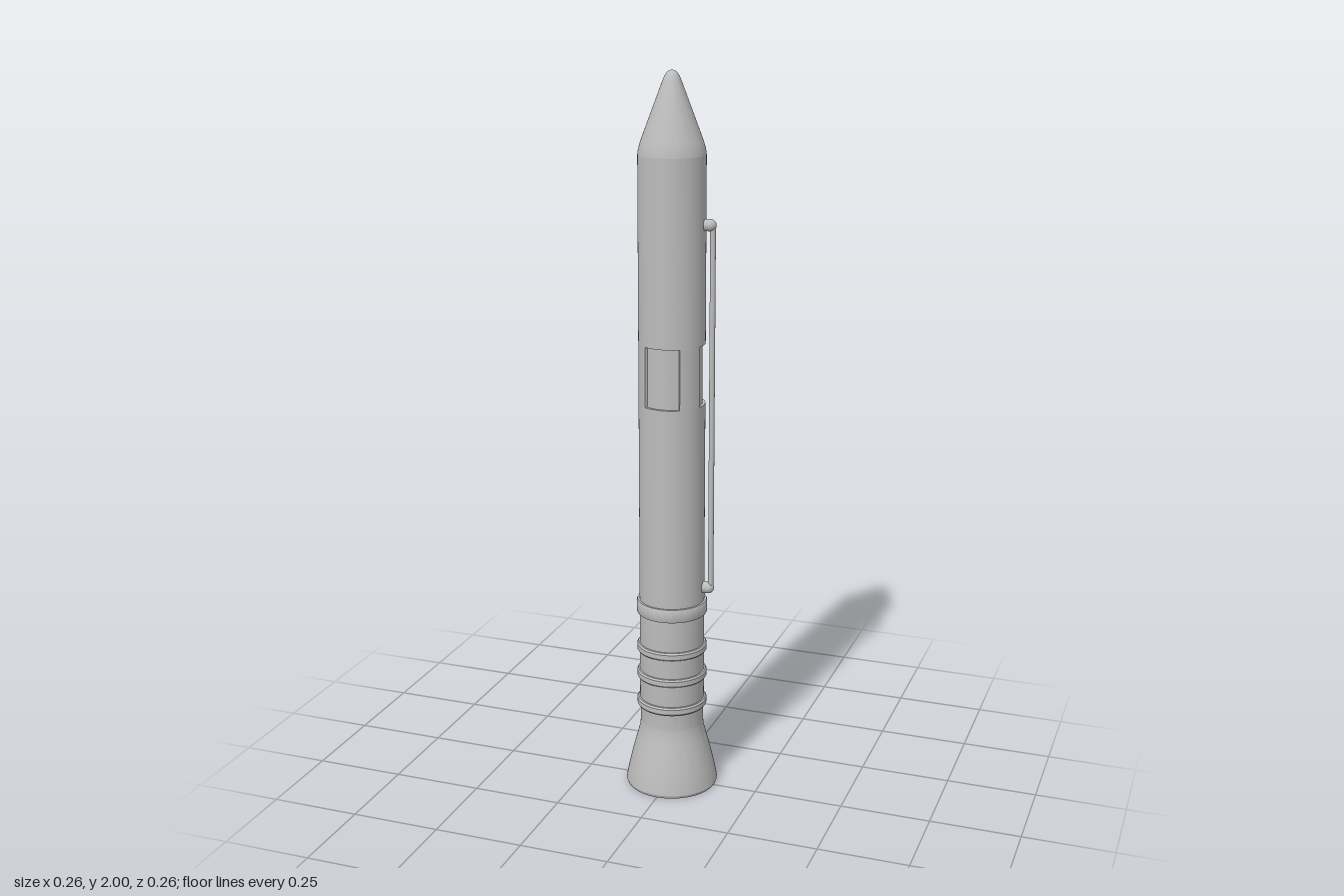
import * as THREE from 'three';
import { toCreasedNormals } from 'three/addons/utils/BufferGeometryUtils.js';

const R = 0.09; // hull radius
const SEGMENTS = 64;

export function createModel() {
  const model = new THREE.Group();
  model.name = 'rocket';
  const grey = new THREE.MeshStandardMaterial({ color: 0xbcbcbc });
  grey.name = 'light grey';

  const add = (name, geometry, parent = model) => {
    const mesh = new THREE.Mesh(geometry, grey);
    mesh.name = name;
    parent.add(mesh);
    return mesh;
  };
  // Turned part from [radius, height] pairs, listed bottom to top on the outside
  const turned = (name, points) => {
    const profile = points.map(([r, y]) => new THREE.Vector2(r, y));
    return add(name, toCreasedNormals(new THREE.LatheGeometry(profile, SEGMENTS), 0.5));
  };

  // Flared, hollow engine skirt
  turned('engineSkirt', [
    [0, 0.17], [0.08, 0.17], [0.086, 0.15], [0.1, 0.1], [0.115, 0.05], [0.121, 0],
    [0.126, 0], [0.129, 0.008], [0.127, 0.022], [0.12, 0.055], [0.108, 0.105],
    [0.097, 0.145], [0.09, 0.172], [0.0885, 0.19],
  ]);

  // Lower stage and its raised rings
  turned('lowerStage', [[0.0885, 0.19], [0.0885, 0.235], [R, 0.25], [R, 0.53]]);
  for (const y of [0.25, 0.335, 0.415]) {
    turned('reinforcingRing', [
      [0.086, y - 0.013], [0.094, y - 0.012], [0.0975, y - 0.007],
      [0.0975, y + 0.007], [0.094, y + 0.012], [0.086, y + 0.013],
    ]);
  }
  turned('stageFlange', [
    [0.086, 0.518], [0.096, 0.518], [0.098, 0.522], [0.098, 0.552], [0.096, 0.556], [0.086, 0.556],
  ]);

  // Hull below and above the band of recessed panels
  turned('lowerHull', [[R, 0.53], [R, 1.12], [0, 1.12]]);
  turned('upperHull', [[0, 1.285], [R, 1.285], [R, 1.785]]);

  // Band with three shallow recesses, drawn as a notched circle
  const panels = [0, 108, 210];
  const half = 33;
  const outline = [];
  const put = (deg, r) => {
    const a = THREE.MathUtils.degToRad(deg);
    outline.push(new THREE.Vector2(r * Math.sin(a), -r * Math.cos(a)));
  };
  panels.forEach((centre, i) => {
    const next = (i < 2 ? panels[i + 1] : 360) - half;
    for (let k = 0; k <= 12; k++) put(centre - half + (k / 12) * 2 * half, R - 0.008);
    const start = centre + half;
    for (let k = 0; k <= 12; k++) put(start + (k / 12) * (next - start), R);
  });
  const band = new THREE.ExtrudeGeometry(new THREE.Shape(outline), { depth: 0.165, bevelEnabled: false });
  band.rotateX(-Math.PI / 2);
  band.translate(0, 1.12, 0);
  add('recessedPanelBand', toCreasedNormals(band, 0.5));

  // Nose cone with a rounded tip
  turned('noseCone', [
    [R, 1.785], [0.088, 1.8], [0.082, 1.82], [0.052, 1.9], [0.025, 1.972],
    [0.019, 1.986], [0.012, 1.995], [0.005, 1.999], [0, 2],
  ]);

  // External conduit held by a rounded bracket at each end
  const conduit = new THREE.Group();
  conduit.name = 'conduit';
  conduit.position.z = -0.007;
  model.add(conduit);
  const pipe = add('conduitPipe', new THREE.CylinderGeometry(0.0075, 0.0075, 1.0, 16), conduit);
  pipe.position.set(0.111, 1.1, 0);
  for (const y of [0.597, 1.605]) {
    const stub = add('conduitBracket', new THREE.CylinderGeometry(0.016, 0.016, 0.024, 20), conduit);
    stub.rotation.z = Math.PI / 2;
    stub.position.set(0.092, y, 0);
    const cap = add('conduitElbow', new THREE.SphereGeometry(0.016, 20, 14), conduit);
    cap.position.set(0.104, y, 0);
  }

  return model;
}
